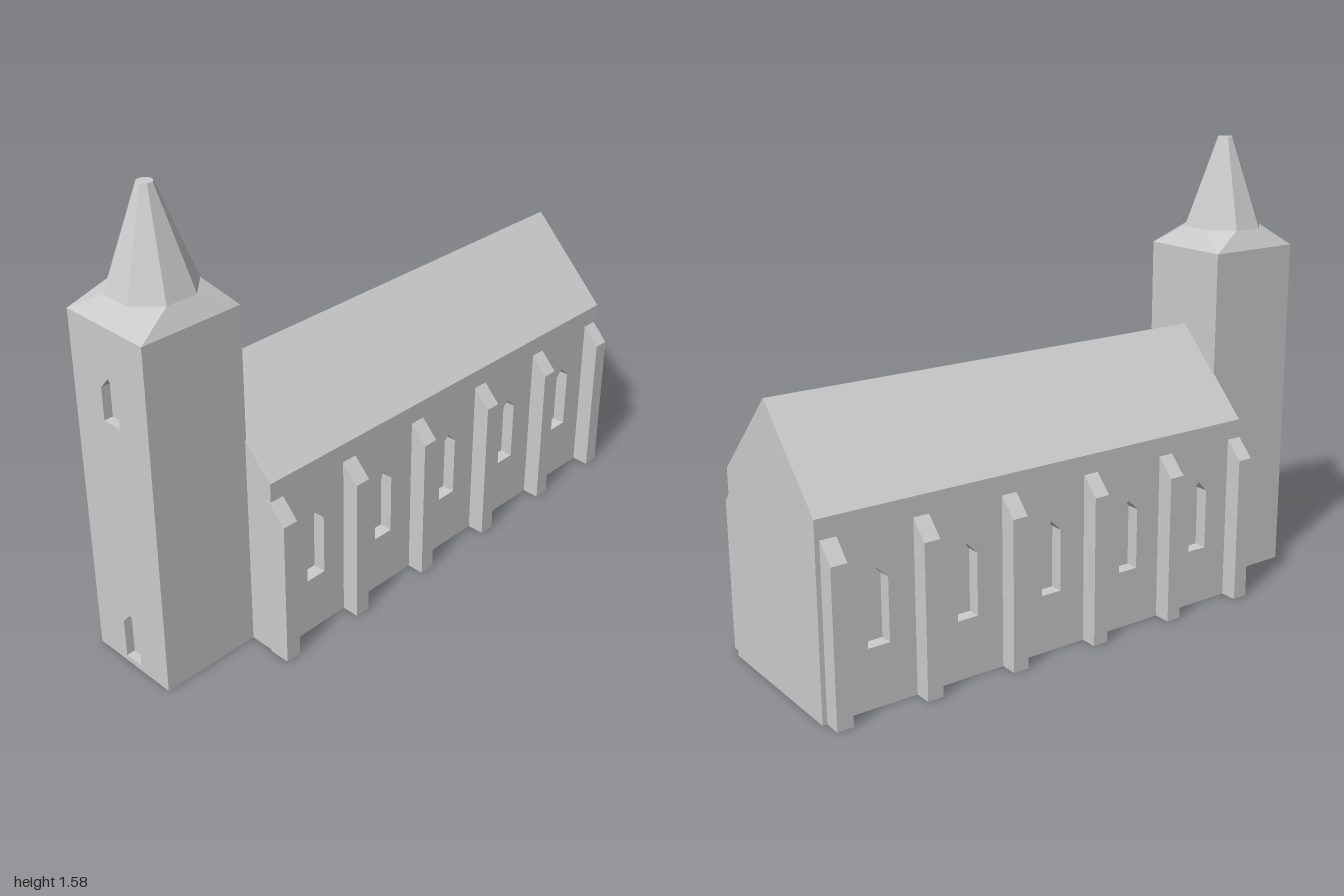
import * as THREE from 'three';

export function createModel() {
  const church = new THREE.Group();
  church.name = 'church';
  const stone = new THREE.MeshStandardMaterial({ color: 0xcccccc });
  stone.name = 'stone grey';

  const add = (name, geometry, x = 0, y = 0, z = 0, parent = church) => {
    const mesh = new THREE.Mesh(geometry, stone);
    mesh.name = name;
    mesh.position.set(x, y, z);
    parent.add(mesh);
    return mesh;
  };
  const polygon = pts => new THREE.Shape(pts.map(p => new THREE.Vector2(...p)));
  const extrude = (shape, depth) => new THREE.ExtrudeGeometry(shape, { depth, bevelEnabled: false });
  const flat = geometry => {
    const g = geometry.toNonIndexed();
    g.computeVertexNormals();
    return g;
  };
  // Rectangular wall pierced by pointed openings [centre, bottom, shoulder, apex, width]
  const piercedWall = (x0, x1, top, openings, depth) => {
    const wall = polygon([[x0, 0], [x1, 0], [x1, top], [x0, top]]);
    for (const [c, b, s, a, w] of openings) {
      wall.holes.push(polygon([[c - w / 2, b], [c - w / 2, s], [c, a], [c + w / 2, s], [c + w / 2, b]]));
    }
    return extrude(wall, depth);
  };

  // Nave: inner body with gabled roof, and side walls with recessed windows
  const west = -0.65, east = 1, half = 0.285, eave = 0.64, ridge = 0.93, recess = 0.045;
  const inner = half - recess;
  const body = extrude(polygon([
    [-inner, 0], [inner, 0], [inner, eave], [half, eave],
    [0, ridge], [-half, eave], [-inner, eave],
  ]), east - west).rotateY(Math.PI / 2);
  add('naveBodyAndRoof', body, west);

  const windows = [-0.467, -0.155, 0.165, 0.487, 0.803].map(x => [x, 0.2, 0.41, 0.447, 0.075]);
  const sideWall = piercedWall(west, east, eave, windows, recess);
  add('frontWall', sideWall, 0, 0, inner);
  add('backWall', sideWall, 0, 0, -half);

  // Buttresses with sloping tops, on both sides
  const buttresses = new THREE.Group();
  buttresses.name = 'buttresses';
  church.add(buttresses);
  for (const s of [-1, 1]) {
    const profile = polygon([[s * 0.27, 0], [s * 0.345, 0], [s * 0.345, 0.513], [s * half, 0.575], [s * 0.27, 0.575]]);
    const geometry = extrude(profile, 0.055).rotateY(Math.PI / 2);
    for (const x of [-0.627, -0.314, 0.006, 0.328, 0.647, 0.957]) {
      add('buttress', geometry, x - 0.0275, 0, 0, buttresses);
    }
  }

  // Tower: solid shaft and a west wall with a door and a belfry window
  const tower = new THREE.Group();
  tower.name = 'tower';
  tower.position.set(-0.823, 0, 0.012);
  church.add(tower);
  const hx = 0.177, hz = 0.168, height = 1.2, wall = 0.03;
  add('towerShaft', new THREE.BoxGeometry(2 * hx - wall, height, 2 * hz), wall / 2, height / 2, 0, tower);
  const westWall = piercedWall(-hz, hz, height, [
    [0, 0.02, 0.155, 0.195, 0.072],
    [0, 0.885, 0.995, 1.035, 0.072],
  ], wall).rotateY(-Math.PI / 2);
  add('towerWestWall', westWall, wall - hx, 0, 0, tower);

  // Spire skirt: an octagonal ring whose lower edge is drawn out to the tower corners
  const ringR = 0.141, skirtH = 0.065, spireH = 0.315;
  const skirt = new THREE.CylinderGeometry(ringR, ringR, skirtH, 8, 1, true, Math.PI / 8);
  const p = skirt.attributes.position;
  for (let i = 0; i < p.count; i++) {
    if (p.getY(i) < 0) p.setXYZ(i, Math.sign(p.getX(i)) * hx, -skirtH / 2, Math.sign(p.getZ(i)) * hz);
  }
  add('spireSkirt', flat(skirt), 0, height + skirtH / 2, 0, tower);

  // Octagonal spire with a blunt tip
  const spire = new THREE.CylinderGeometry(0.026, ringR, spireH, 8, 1, false, Math.PI / 8);
  add('spire', flat(spire), 0, height + skirtH + spireH / 2, 0, tower);

  return church;
}
